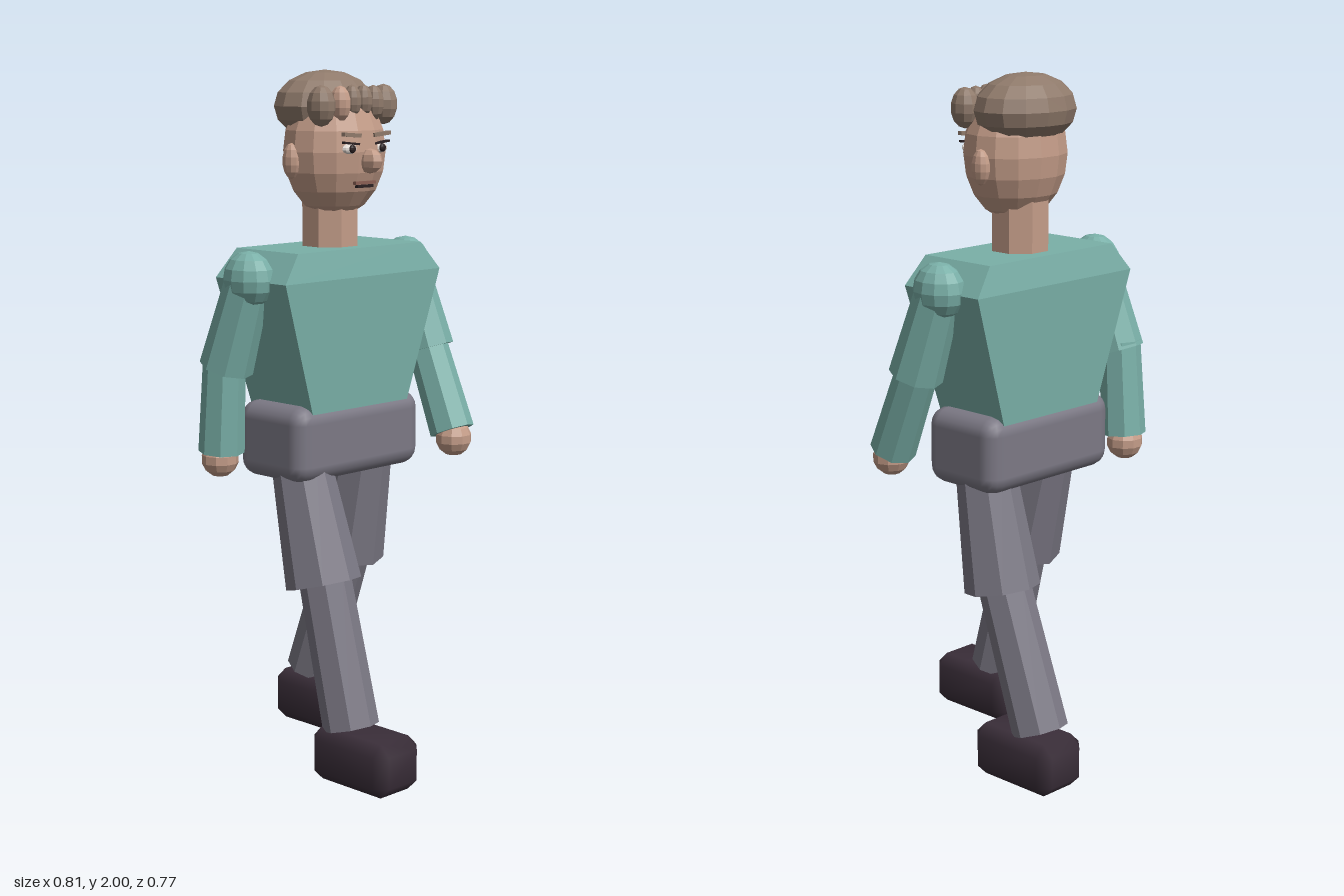
import * as THREE from 'three';
import { mergeVertices } from 'three/addons/utils/BufferGeometryUtils.js';
import { RoundedBoxGeometry } from 'three/addons/geometries/RoundedBoxGeometry.js';
import { ConvexGeometry } from 'three/addons/geometries/ConvexGeometry.js';

const V = (x, y, z) => new THREE.Vector3(x, y, z);

function makeMaterial(name, color) {
  const m = new THREE.MeshStandardMaterial({ color });
  m.name = name;
  return m;
}

// Faceted normals baked into the geometry
function faceted(geometry) {
  const g = geometry.index ? geometry.toNonIndexed() : geometry;
  g.computeVertexNormals();
  return g;
}

export function createModel() {
  const model = new THREE.Group();
  model.name = 'walkingMan';
  const skin = makeMaterial('skin', 0xc39c88);
  const hair = makeMaterial('hair', 0x8f7a6b);
  const shirt = makeMaterial('shirt', 0x7ab0a8);
  const trousers = makeMaterial('trousers', 0x7c7985);
  const shoes = makeMaterial('shoes', 0x3a2e39);
  const eyeWhite = makeMaterial('eyeWhite', 0xe2dad4);
  const dark = makeMaterial('dark', 0x2a2022);
  const lips = makeMaterial('lips', 0x8a5f54);

  function add(parent, name, geometry, material, pos = [0, 0, 0]) {
    const mesh = new THREE.Mesh(geometry, material);
    mesh.name = name;
    mesh.position.set(...pos);
    parent.add(mesh);
    return mesh;
  }

  // Low-poly ellipsoid from centre and radii
  function ellipsoid(parent, name, material, pos, r, w = 10, h = 7) {
    const g = new THREE.SphereGeometry(1, w, h).scale(...r);
    return add(parent, name, faceted(g), material, pos);
  }

  // Eight-sided tapered limb between two points
  function limb(parent, name, material, a, b, rA, rB) {
    const dir = V(...a).sub(V(...b));
    const g = faceted(new THREE.CylinderGeometry(rA, rB, dir.length(), 8));
    const mesh = add(parent, name, g, material);
    mesh.position.copy(V(...a).add(V(...b)).multiplyScalar(0.5));
    mesh.quaternion.setFromUnitVectors(V(0, 1, 0), dir.normalize());
    return mesh;
  }

  // Box with one 45-degree cut on every edge, softly shaded
  function chamferBox(w, h, d, c) {
    const pts = [];
    for (const x of [-1, 1]) for (const y of [-1, 1]) for (const z of [-1, 1]) {
      const X = x * w / 2, Y = y * h / 2, Z = z * d / 2;
      pts.push(V(X, Y - y * c, Z - z * c), V(X - x * c, Y, Z - z * c), V(X - x * c, Y - y * c, Z));
    }
    const g = new ConvexGeometry(pts);
    g.deleteAttribute('normal');
    const merged = mergeVertices(g, 1e-4);
    merged.computeVertexNormals();
    return merged;
  }

  // Torso: three stacked rectangles [y, half width, back z, front z]
  const torso = [];
  for (const [y, x, z0, z1] of [[1.04, 0.19, -0.18, 0.07], [1.425, 0.311, -0.198, 0.087], [1.505, 0.247, -0.18, 0.07]]) {
    torso.push(V(-x, y, z0), V(x, y, z0), V(x, y, z1), V(-x, y, z1));
  }
  add(model, 'torso', faceted(new ConvexGeometry(torso)), shirt);
  add(model, 'pelvis', new RoundedBoxGeometry(0.5, 0.22, 0.27, 2, 0.05), trousers, [0, 0.96, -0.055]);

  // Arms: the left swings forward, the right swings back
  const arms = [
    { side: 'left', s: 1, elbow: [1.18, 0.03], wrist: [0.945, 0.135], hand: [0.925, 0.143] },
    { side: 'right', s: -1, elbow: [1.175, -0.14], wrist: [0.93, -0.172], hand: [0.908, -0.18] },
  ];
  for (const { side, s, elbow, wrist, hand } of arms) {
    const arm = new THREE.Group();
    arm.name = side + 'Arm';
    model.add(arm);
    ellipsoid(arm, 'shoulder', shirt, [s * 0.317, 1.43, -0.055], [0.066, 0.08, 0.08], 12, 8);
    limb(arm, 'upperArm', shirt, [s * 0.314, 1.44, -0.055], [s * 0.327, ...elbow], 0.064, 0.077);
    limb(arm, 'forearm', shirt, [s * 0.325, elbow[0] + 0.03, elbow[1] - 0.01], [s * 0.32, ...wrist], 0.06, 0.066);
    ellipsoid(arm, 'hand', skin, [s * 0.318, ...hand], [0.055, 0.053, 0.053]);
  }

  // Legs: the right steps forward, the left trails
  const legs = [
    { side: 'left', s: 1, hip: -0.053, knee: -0.138, ankle: [0.165, -0.285], foot: -0.237 },
    { side: 'right', s: -1, hip: -0.04, knee: 0.075, ankle: [0.155, 0.182], foot: 0.238 },
  ];
  for (const { side, s, hip, knee, ankle, foot } of legs) {
    const leg = new THREE.Group();
    leg.name = side + 'Leg';
    model.add(leg);
    limb(leg, 'thigh', trousers, [s * 0.152, 0.97, hip], [s * 0.156, 0.557, knee], 0.08, 0.109);
    limb(leg, 'shin', trousers, [s * 0.153, 0.58, knee], [s * 0.153, ...ankle], 0.075, 0.081);
    add(leg, 'shoe', chamferBox(0.178, 0.157, 0.296, 0.033), shoes, [s * 0.153, 0.0785, foot]);
  }

  // Neck and head
  const neck = new THREE.CylinderGeometry(0.085, 0.085, 0.2, 8).rotateY(Math.PI / 8);
  add(model, 'neck', faceted(neck), skin, [0, 1.59, -0.055]);
  const head = new THREE.Group();
  head.name = 'head';
  model.add(head);
  ellipsoid(head, 'skull', skin, [0, 1.775, -0.037], [0.158, 0.19, 0.137], 14, 10);
  ellipsoid(head, 'nose', skin, [0, 1.75, 0.103], [0.026, 0.035, 0.046], 8, 6);

  // Hair cap and small centre curls
  ellipsoid(head, 'hairCap', hair, [0, 1.9, -0.075], [0.163, 0.1, 0.127], 14, 8);

  // Mirrored features of the head
  for (const s of [-1, 1]) {
    ellipsoid(head, 'ear', skin, [s * 0.153, 1.75, -0.053], [0.023, 0.05, 0.03]);
    ellipsoid(head, 'templeCurl', hair, [s * 0.124, 1.903, 0.036], [0.038, 0.057, 0.044]);
    ellipsoid(head, 'fringeCurl', s < 0 ? skin : hair, [s * 0.066, 1.908, 0.052], [0.028, 0.05, 0.034]);
    ellipsoid(head, 'centreCurl', hair, [s * 0.022, 1.915, 0.055], [0.025, 0.045, 0.03]);
    ellipsoid(head, 'eye', eyeWhite, [s * 0.06, 1.785, 0.084], [0.029, 0.015, 0.012]);
    ellipsoid(head, 'pupil', dark, [s * 0.06, 1.785, 0.094], [0.012, 0.012, 0.008]);
    const lid = add(head, 'eyelid', new THREE.BoxGeometry(0.06, 0.006, 0.012), dark, [s * 0.06, 1.8, 0.089]);
    lid.rotation.z = s * 0.1;
    const brow = add(head, 'eyebrow', new THREE.BoxGeometry(0.066, 0.011, 0.014), hair, [s * 0.059, 1.823, 0.09]);
    brow.rotation.z = s * 0.08;
  }

  // Mouth
  add(head, 'upperLip', new THREE.BoxGeometry(0.08, 0.009, 0.012), lips, [0, 1.689, 0.083]);
  add(head, 'mouthLine', new THREE.BoxGeometry(0.062, 0.008, 0.012), dark, [0, 1.679, 0.081]);
  return model;
}
